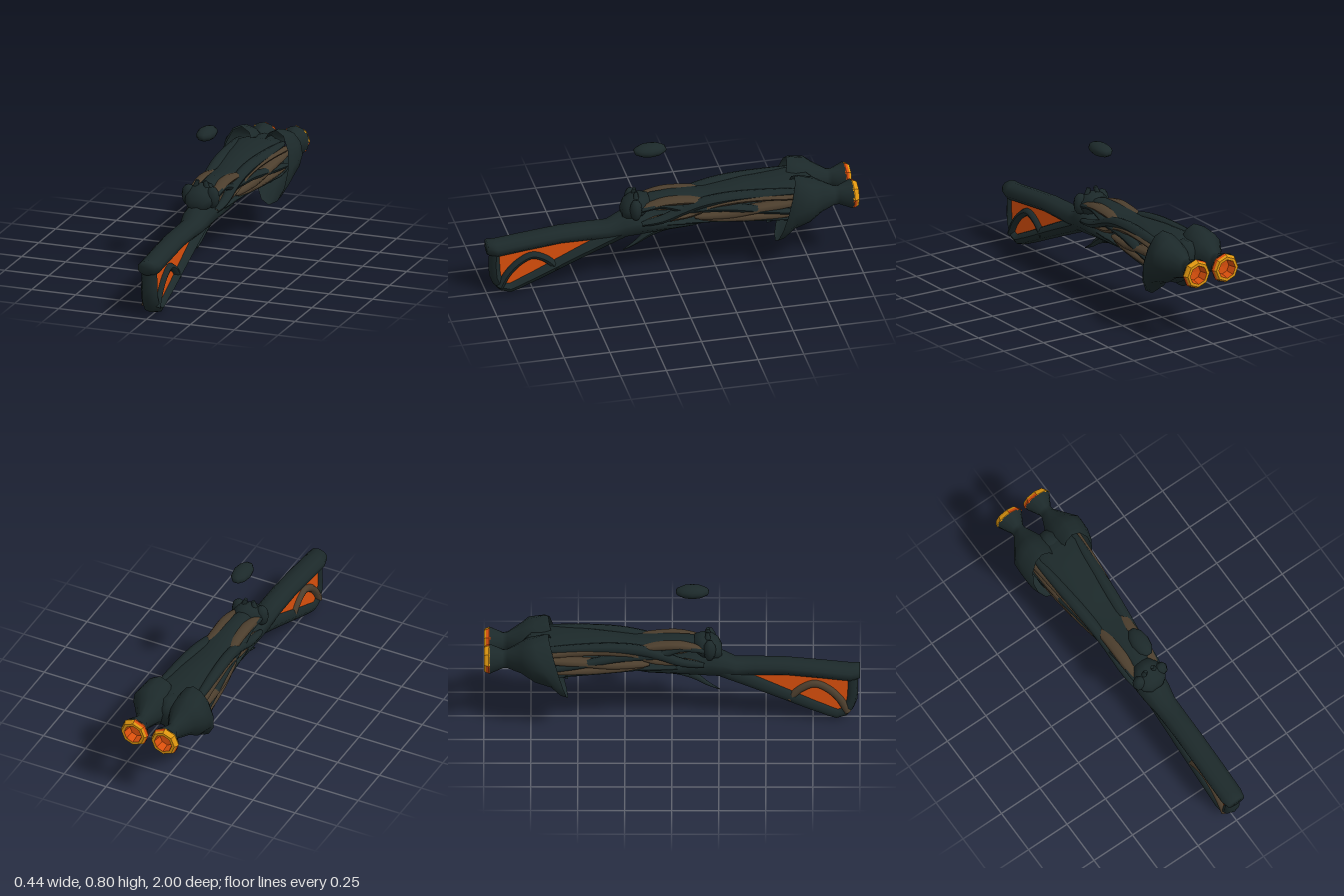
import * as THREE from 'three';

const mat = (name, color) => {
  const m = new THREE.MeshStandardMaterial({ color });
  m.name = name;
  return m;
};

export function createModel() {
  const model = new THREE.Group();
  const shell = mat('dark shell', 0x1c292a);
  shell.side = THREE.DoubleSide;
  const sinew = mat('brown sinew', 0x4c3e2d);
  const orange = mat('glowing orange', 0xd94f0c);
  const yellow = mat('glowing yellow', 0xdf960f);

  const add = (name, geometry, material) => {
    const mesh = new THREE.Mesh(geometry, material);
    mesh.name = name;
    model.add(mesh);
  };

  // Skin over elliptical sections [z, y, rx, ry, x, tilt], listed front to back
  const loft = (sections, n = 10, open = false) => {
    const rows = [...sections];
    if (!open) {
      const collapse = (s) => [s[0], s[1], 0, 0, s[4], 0];
      rows.unshift(collapse(rows[0]));
      rows.push(collapse(rows[rows.length - 1]));
    }
    const pos = [], idx = [];
    rows.forEach(([z, y, rx, ry, x = 0, tilt = 0], i) => {
      for (let j = 0; j < n; j++) {
        const a = (j / n) * Math.PI * 2 + Math.PI / 2;
        pos.push(x + rx * Math.cos(a), y + ry * Math.sin(a), z - tilt * Math.sin(a));
        if (i === rows.length - 1) continue;
        const k = (j + 1) % n, p = i * n, q = p + n;
        idx.push(p + j, q + j, p + k, p + k, q + j, q + k);
      }
    });
    const g = new THREE.BufferGeometry();
    g.setAttribute('position', new THREE.Float32BufferAttribute(pos, 3));
    g.setIndex(idx);
    g.computeVertexNormals();
    return g;
  };

  // Tapered tube through [z, y] points; xAt gives the sideways position
  const strand = (points, r, xAt, taper, sx = 1) => {
    const curve = new THREE.CatmullRomCurve3(points.map(([z, y]) => new THREE.Vector3(xAt(z), y, z)));
    const seg = 24, rad = 8;
    const g = new THREE.TubeGeometry(curve, seg, r, rad, false);
    const p = g.attributes.position, v = new THREE.Vector3();
    for (let i = 0; i < p.count; i++) {
      const u = Math.floor(i / (rad + 1)) / seg;
      const c = curve.getPointAt(u);
      v.fromBufferAttribute(p, i).sub(c).multiplyScalar(taper(u));
      p.setXYZ(i, c.x + v.x * sx, c.y + v.y, c.z + v.z);
    }
    g.computeVertexNormals();
    return g;
  };
  const spindle = (u) => 0.4 + 0.6 * Math.sqrt(Math.max(0, Math.sin(Math.PI * u)));

  // Stock beam flowing into the lower receiver
  add('stockAndReceiver', loft([
    [1, 0.286, 0.052, 0.04], [0.95, 0.276, 0.063, 0.046], [0.8, 0.293, 0.064, 0.045],
    [0.6, 0.313, 0.064, 0.044], [0.44, 0.314, 0.064, 0.047], [0.34, 0.31, 0.066, 0.05],
    [0.26, 0.332, 0.08, 0.07], [0.2, 0.34, 0.084, 0.074], [0.1, 0.33, 0.08, 0.055],
    [0, 0.323, 0.077, 0.042], [-0.12, 0.32, 0.07, 0.033], [-0.2, 0.32, 0.053, 0.023], [-0.23, 0.32, 0.02, 0.013],
  ]), shell);

  // Stock loop, thickening forward, with its glowing web
  add('stockLoop', strand([[0.957, 0.27], [0.948, 0.1], [0.895, 0.037], [0.8, 0.068], [0.6, 0.158], [0.45, 0.226], [0.27, 0.305]],
    0.03, () => 0, (u) => 1 + 0.6 * u, 1.45), shell);
  const web = new THREE.Shape([[0.95, 0.27], [0.94, 0.06], [0.89, 0.04], [0.8, 0.07], [0.45, 0.22], [0.33, 0.28], [0.6, 0.31]]
    .map(([z, y]) => new THREE.Vector2(z, y)));
  const webGeo = new THREE.ExtrudeGeometry(web, { depth: 0.06, bevelEnabled: false });
  webGeo.rotateY(-Math.PI / 2).translate(0.03, 0, 0);
  add('stockWeb', webGeo, orange);
  for (const s of [-1, 1]) {
    add('stockArch', strand([[0.935, 0.05], [0.89, 0.13], [0.83, 0.19], [0.76, 0.222], [0.69, 0.195], [0.62, 0.13]],
      0.021, () => s * 0.033, () => 1), s > 0 ? shell : sinew);
  }

  // Curved spike below the receiver
  add('lowerSpike', strand([[-0.06, 0.315], [0.04, 0.29], [0.12, 0.252], [0.19, 0.203], [0.255, 0.168]],
    0.042, () => 0, (u) => 1 - 0.94 * u), shell);

  // Collar with two small prongs
  add('collar', loft([
    [0.265, 0.41, 0.04, 0.03], [0.245, 0.425, 0.074, 0.054], [0.2, 0.437, 0.088, 0.07],
    [0.16, 0.445, 0.08, 0.064], [0.12, 0.455, 0.055, 0.045],
  ]), shell);
  for (const s of [-1, 1]) {
    const prong = new THREE.CylinderGeometry(0.01, 0.022, 0.07, 6);
    prong.rotateZ(s * 0.25).translate(s * 0.03, 0.495, 0.19);
    add('collarProng', prong, shell);
    const lug = new THREE.SphereGeometry(1, 8, 6);
    lug.scale(0.04, 0.06, 0.035).translate(s * 0.068, 0.445, 0.2);
    add('collarLug', lug, shell);
  }

  // Upper cover and bottom rail bounding the open barrel cage
  add('topCover', loft([
    [0.18, 0.46, 0.04, 0.02], [0.1, 0.47, 0.048, 0.026], [0, 0.472, 0.056, 0.027], [-0.1, 0.46, 0.08, 0.028],
    [-0.2, 0.452, 0.09, 0.028], [-0.3, 0.465, 0.092, 0.027], [-0.42, 0.476, 0.1, 0.029],
    [-0.55, 0.475, 0.12, 0.03], [-0.65, 0.475, 0.135, 0.032], [-0.74, 0.46, 0.12, 0.03],
  ]), shell);
  add('bottomRail', loft([
    [0.12, 0.335, 0.07, 0.014], [-0.05, 0.335, 0.085, 0.015], [-0.2, 0.336, 0.098, 0.015],
    [-0.4, 0.332, 0.13, 0.013], [-0.6, 0.33, 0.16, 0.016], [-0.7, 0.335, 0.155, 0.02],
  ]), shell);

  // Woven strands on both sides; the brown ones are deep ribbons set inward
  const sideX = (z) => 0.073 + Math.max(0, -0.1 - z) * 0.125;
  const sinewX = (z) => sideX(z) * 1.02 - 0.014;
  const crossX = (z) => 0.078 + Math.max(0, -0.1 - z) * 0.075;
  const strands = [
    [shell, 0.023, 1.3, sideX, [[0.19, 0.44], [0.06, 0.46], [-0.07, 0.422], [-0.29, 0.415], [-0.5, 0.385], [-0.7, 0.36]]],
    [shell, 0.029, 1.15, crossX, [[0.17, 0.36], [0.05, 0.378], [-0.06, 0.42], [-0.16, 0.452], [-0.31, 0.473], [-0.7, 0.475]]],
    [sinew, 0.022, 1.7, sinewX, [[0.17, 0.45], [0.04, 0.472], [-0.08, 0.468], [-0.2, 0.45]]],
    [sinew, 0.023, 1.8, sinewX, [[0.16, 0.36], [0.03, 0.372], [-0.09, 0.385], [-0.2, 0.43], [-0.32, 0.455], [-0.5, 0.462], [-0.72, 0.448]]],
    [sinew, 0.023, 1.8, sinewX, [[-0.12, 0.36], [-0.31, 0.37], [-0.47, 0.395], [-0.72, 0.425]]],
    [sinew, 0.019, 1.9, sinewX, [[-0.15, 0.348], [-0.35, 0.346], [-0.5, 0.346], [-0.68, 0.35]]],
  ];
  for (const s of [-1, 1]) {
    for (const [material, r, sx, xAt, pts] of strands) {
      add(material === shell ? 'shellStrand' : 'sinewStrand',
        strand(pts, r, (z) => s * xAt(z), spindle, sx), material);
    }
  }

  // Solid body joining the two shields
  add('rearBulkhead', loft([
    [-0.61, 0.32, 0.06, 0.08], [-0.65, 0.36, 0.12, 0.12], [-0.7, 0.385, 0.13, 0.12],
    [-0.75, 0.405, 0.1, 0.1], [-0.79, 0.41, 0.03, 0.06],
  ]), shell);

  // Twin flared shields narrowing to nozzles
  for (const s of [-1, 1]) {
    add('shield', loft([
      [-0.605, 0.365, 0.09, 0.193, s * 0.098, 0.053],
      [-0.635, 0.376, 0.103, 0.184, s * 0.103, 0.048],
      [-0.685, 0.397, 0.111, 0.146, s * 0.107, 0.05],
      [-0.745, 0.41, 0.108, 0.125, s * 0.109, 0.02],
      [-0.8, 0.42, 0.08, 0.088, s * 0.1],
      [-0.875, 0.408, 0.037, 0.056, s * 0.091],
      [-0.9, 0.406, 0.038, 0.055, s * 0.09],
      [-0.97, 0.405, 0.078, 0.081, s * 0.09],
    ], 12, true), shell);

    // Faceted glowing mouth of the nozzle, its upper outer quarter yellow
    const turned = (profile, start = 0, quarters = 4) => {
      const points = profile.map(([r, d]) => new THREE.Vector2(r, d));
      const g = new THREE.LatheGeometry(points, quarters * 2, start, quarters * Math.PI / 2).toNonIndexed();
      g.rotateX(-Math.PI / 2).translate(s * 0.09, 0.405, 0);
      g.computeVertexNormals();
      return g;
    };
    const band = [[0.078, 0.966], [0.081, 0.974], [0.076, 0.988]];
    const upper = s > 0 ? 0 : Math.PI * 1.5;
    add('nozzleBandUpper', turned(band, upper, 1), yellow);
    add('nozzleBand', turned(band, upper + Math.PI / 2, 3), orange);
    add('nozzleLip', turned([[0.076, 0.988], [0.068, 1], [0.052, 1]]), yellow);
    add('nozzleBore', turned([[0.052, 1], [0.042, 0.95], [0.0001, 0.945]]), orange);
  }

  // Floating lens above the collar
  const lens = new THREE.SphereGeometry(1, 10, 8);
  lens.scale(0.051, 0.036, 0.092).translate(0, 0.767, 0.108);
  add('floatingLens', lens, shell);

  return model;
}
